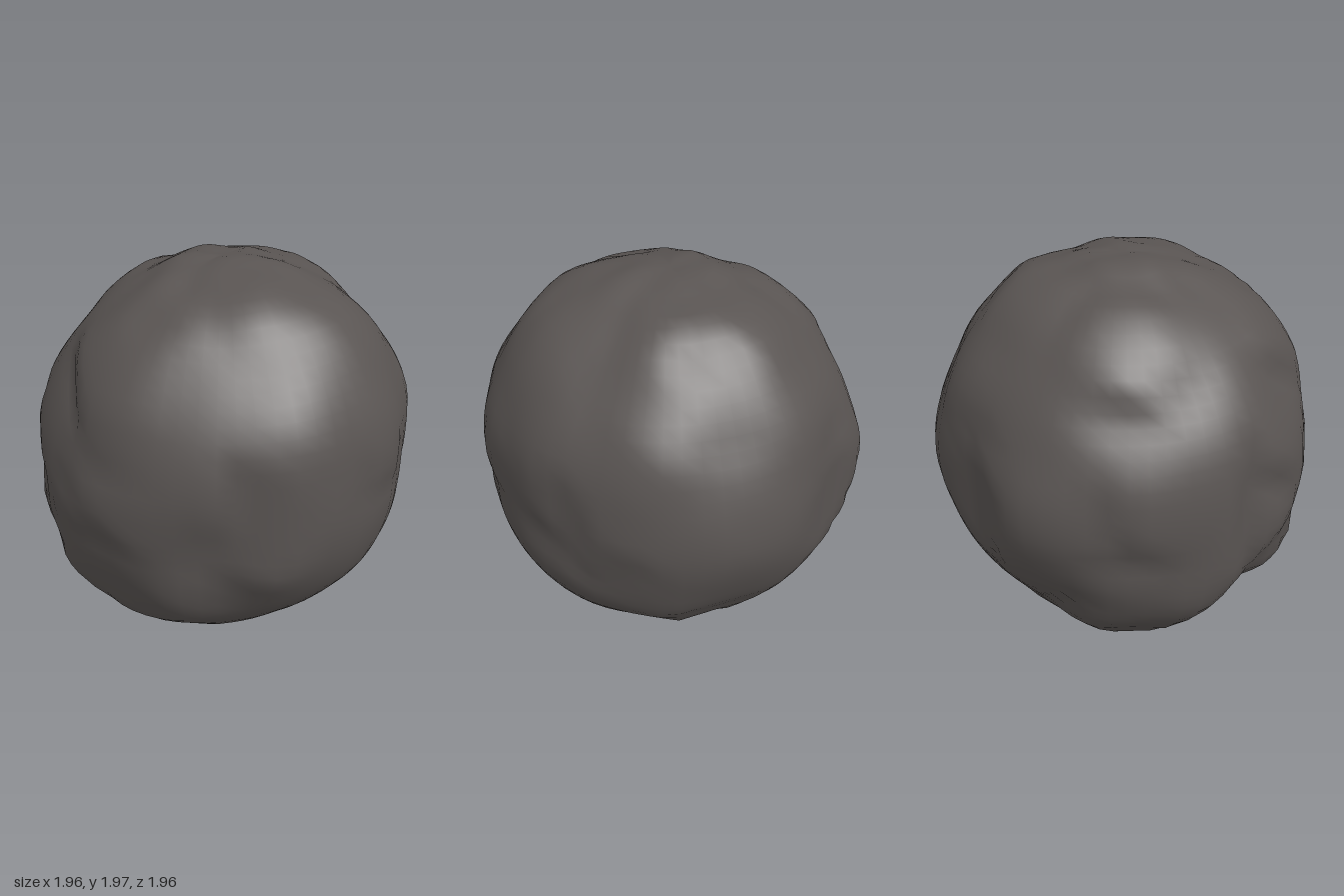
import * as THREE from 'three';
import { mergeVertices } from 'three/addons/utils/BufferGeometryUtils.js';

const V = (x, y, z) => new THREE.Vector3(x, y, z);

// Outlines of the boulder about its centre: two upright, one level
const ringXY = [[.945, 0], [.98, .2], [.945, .4], [.8, .65], [.65, .82], [.48, .9], [.23, 1], [0, .98], [-.17, 1],
  [-.37, .9], [-.47, .89], [-.76, .66], [-.79, .48], [-.96, .22], [-.99, .02], [-.92, -.2], [-.92, -.4],
  [-.83, -.6], [-.68, -.8], [-.54, -.96], [-.3, -.96], [-.12, -1], [.07, -.93], [.2, -.92], [.48, -.85],
  [.7, -.67], [.85, -.5], [.93, -.25]];
const ringZY = [[0, 1], [.33, .95], [.6, .8], [.8, .65], [.9, .5], [.94, .2], [.985, .03], [.93, -.2], [.89, -.4],
  [.82, -.58], [.78, -.7], [.7, -.73], [.53, -.87], [.25, -.95], [.05, -.93], [-.2, -.99], [-.36, -.92],
  [-.6, -.77], [-.75, -.55], [-.9, -.3], [-.985, -.03], [-.95, .2], [-.83, .47], [-.65, .75], [-.5, .9], [-.3, .95]];
const ringXZ = [[.1, -.99], [.3, -.93], [.5, -.83], [.62, -.74], [.7, -.59], [.84, -.44], [.92, -.2], [.985, 0],
  [.92, .2], [.9, .35], [.8, .53], [.57, .7], [.53, .8], [.44, .86], [.2, .94], [-.1, .98], [-.35, .92],
  [-.5, .83], [-.68, .7], [-.68, .58], [-.85, .47], [-.93, .25], [-.99, 0], [-.94, -.1], [-.96, -.3],
  [-.89, -.5], [-.6, -.68], [-.48, -.78], [-.25, -.95]];
// ... and three tilted
const tiltA = [[-.26, .98], [-.16, .97], [.12, 1.02], [.33, 1], [.45, .88], [.64, .75], [.84, .57], [.92, .37],
  [.94, .2], [.95, -.07], [.88, -.42], [.76, -.61], [.64, -.76], [.42, -.9], [.19, -.96], [-.15, -1.01],
  [-.3, -.95], [-.54, -.93], [-.75, -.78], [-.9, -.61], [-.9, -.44], [-.98, -.26], [-.98, .08], [-.94, .29],
  [-.85, .47], [-.68, .64], [-.59, .77], [-.42, .9]];
const tiltB = [[-.08, 1.06], [.12, 1.01], [.42, .96], [.61, .82], [.74, .69], [.75, .55], [.92, .29], [.96, .2],
  [.93, .05], [.98, -.21], [.94, -.41], [.87, -.66], [.7, -.87], [.42, -1.02], [.24, -.99], [-.01, -1.03],
  [-.22, -.96], [-.51, -.78], [-.66, -.76], [-.82, -.53], [-.9, -.23], [-.96, .05], [-.95, .23], [-.9, .45],
  [-.77, .66], [-.72, .75], [-.53, .94], [-.31, 1.02]];
const tiltC = [[-.3, .99], [-.02, .99], [.28, 1.02], [.48, .91], [.69, .72], [.83, .54], [.88, .29], [1.01, -.09],
  [.99, -.2], [.9, -.38], [.74, -.6], [.69, -.78], [.52, -.96], [.39, -1.03], [.12, -1.1], [-.13, -1.02],
  [-.3, -.93], [-.56, -.89], [-.82, -.63], [-.88, -.38], [-.93, -.23], [-.95, .25], [-.91, .45], [-.7, .75],
  [-.55, .91]];

// An outline in the plane of two directions, stored as radius by angle
function outline(points, right, up) {
  const polar = points.map(([u, v]) => ({ a: Math.atan2(v, u), r: Math.hypot(u, v) })).sort((p, q) => p.a - q.a);
  const first = polar[0], last = polar[polar.length - 1];
  polar.unshift({ a: last.a - 2 * Math.PI, r: last.r });
  polar.push({ a: first.a + 2 * Math.PI, r: first.r });
  return { polar, right, up };
}

// Right and up directions across an axis tilted 30 degrees from level
function tilted(points, sx, sy, sz) {
  const h = Math.cos(Math.PI / 6) / Math.SQRT2;
  const axis = V(sx * h, sy * .5, sz * h);
  const right = V(axis.z, 0, -axis.x).normalize();
  return outline(points, right, axis.clone().cross(right));
}

const outlines = [
  outline(ringXY, V(1, 0, 0), V(0, 1, 0)),
  outline(ringZY, V(0, 0, 1), V(0, 1, 0)),
  outline(ringXZ, V(1, 0, 0), V(0, 0, 1)),
  tilted(tiltA, 1, 1, 1),
  tilted(tiltB, -1, 1, -1),
  tilted(tiltC, 1, -1, -1),
];

// Hollows (negative) and bulges: direction, depth, width
const dents = [
  [V(.52, -.15, .8), -.06, .22], [V(.48, -.5, .7), -.04, .2], [V(.74, -.27, .62), .03, .18],
  [V(-.26, .06, .96), -.02, .1], [V(-.2, -.3, .93), .015, .3], [V(.86, -.1, -.48), -.04, .15],
  [V(.34, -.7, -.63), -.05, .16], [V(.06, .92, .35), -.02, .1],
].map(([d, a, w]) => ({ d: d.normalize(), a, w }));

function radius(n) {
  // follow each outline near its plane, an average radius elsewhere, and stay inside all outlines
  let sum = .965 * .35, weight = .35, limit = Infinity;
  for (const { polar, right, up } of outlines) {
    const u = n.dot(right), v = n.dot(up), across = Math.hypot(u, v), angle = Math.atan2(v, u);
    const i = Math.max(1, polar.findIndex((p) => p.a >= angle));
    const p = polar[i - 1], q = polar[i];
    const r = THREE.MathUtils.lerp(p.r, q.r, (angle - p.a) / (q.a - p.a));
    const w = Math.exp(-(1 - across * across) / .026);
    sum += r * w;
    weight += w;
    limit = Math.min(limit, r / Math.max(across, .01));
  }
  let out = sum / weight;
  for (const { d, a, w } of dents) out += a * Math.exp(-n.distanceToSquared(d) / (w * w));
  // finer wrinkles gathered at the poles
  const pole = Math.max(0, Math.abs(n.y) - .85) / .15;
  out += .01 * pole * Math.sin(17 * n.x + 9 * n.z) * Math.cos(15 * n.z - 6 * n.x);
  return Math.min(out, limit);
}

export function createModel() {
  const group = new THREE.Group();
  group.name = 'boulder';
  const stone = new THREE.MeshStandardMaterial({ color: 0x595452 });
  stone.name = 'dark stone';

  // Sphere displaced along its normals
  let geo = new THREE.SphereGeometry(1, 64, 44);
  geo.deleteAttribute('uv');
  geo.deleteAttribute('normal');
  geo = mergeVertices(geo, 1e-4);
  const pos = geo.attributes.position, n = V(0, 0, 0);
  for (let i = 0; i < pos.count; i++) {
    n.fromBufferAttribute(pos, i).normalize();
    n.multiplyScalar(radius(n));
    pos.setXYZ(i, n.x, n.y + 1, n.z);
  }
  geo.computeVertexNormals();

  const rock = new THREE.Mesh(geo, stone);
  rock.name = 'rock';
  group.add(rock);
  return group;
}
